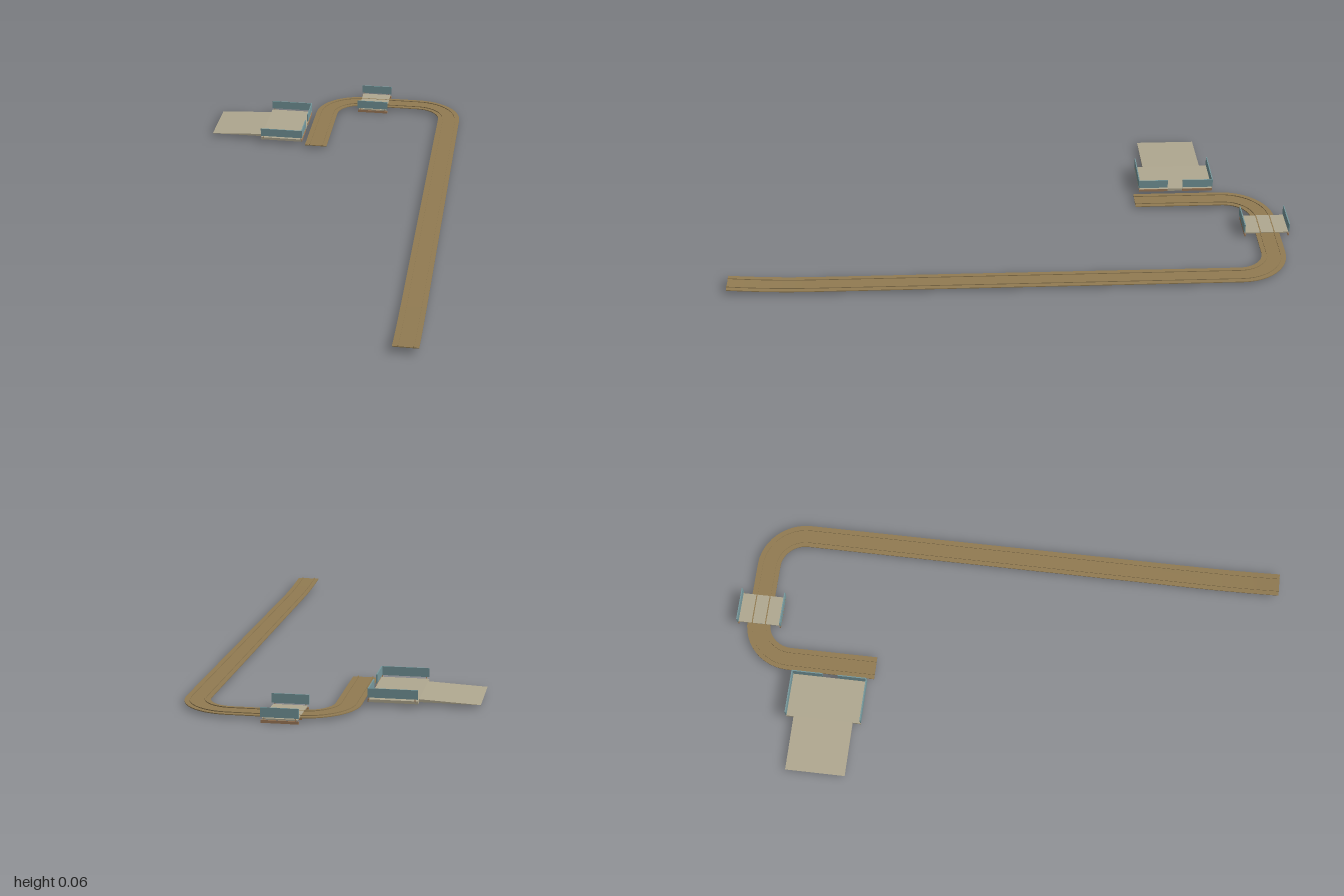
import * as THREE from 'three';
import { toCreasedNormals } from 'three/addons/utils/BufferGeometryUtils.js';

const mat = (name, color) => {
  const m = new THREE.MeshStandardMaterial({ color });
  m.name = name;
  return m;
};

// Road centre line as stations { x, y, z, dx, dz }, from the raised front end to the short leg
function roadStations() {
  const s = [], r = 0.135, xr = 0.439, xl = -0.061, zb = -0.921;
  for (let i = 0; i <= 8; i++) {
    const t = i / 8;
    s.push({ x: xr, z: 1 - 0.3 * t, y: 0.0135 * (1 - t) ** 2, dx: 0, dz: -1 });
  }
  for (const cx of [xr - r, xl + r]) {
    const start = cx === xr - r ? 0 : Math.PI / 2;
    for (let i = 0; i <= 12; i++) {
      const a = start + (i / 12) * Math.PI / 2;
      s.push({
        x: cx + r * Math.cos(a), z: zb + r - r * Math.sin(a), y: 0,
        dx: -Math.sin(a), dz: -Math.cos(a),
      });
    }
  }
  s.push({ x: xl, z: -0.462, y: 0, dx: 0, dz: 1 });
  return s;
}

// Sweep a rectangular section along the road
function sweep(stations, left, right, bottom, top) {
  const section = [[left, top], [right, top], [right, bottom], [left, bottom]];
  const pos = [], idx = [];
  for (const p of stations) {
    for (const [o, h] of section) pos.push(p.x - p.dz * o, p.y + h, p.z + p.dx * o);
  }
  for (let i = 0; i < stations.length - 1; i++) {
    for (let k = 0; k < 4; k++) {
      const a = i * 4 + k, b = i * 4 + (k + 1) % 4;
      idx.push(a, b, b + 4, a, b + 4, a + 4);
    }
  }
  const e = (stations.length - 1) * 4;
  idx.push(0, 2, 1, 0, 3, 2, e, e + 1, e + 2, e, e + 2, e + 3);
  const g = new THREE.BufferGeometry();
  g.setAttribute('position', new THREE.Float32BufferAttribute(pos, 3));
  g.setIndex(idx);
  return toCreasedNormals(g, 0.5);
}

export function createModel() {
  const model = new THREE.Group();
  const dirt = mat('dirt brown', 0x917b52);
  const stone = mat('pale stone', 0xb0a890);
  const panel = mat('blue grey panel', 0x76989c);
  const timber = mat('timber', 0xa07c5a);

  const add = (name, geometry, material, parent = model) => {
    const m = new THREE.Mesh(geometry, material);
    m.name = name;
    parent.add(m);
    return m;
  };
  // Box given by its limits on each axis
  const box = (name, material, parent, x0, x1, y0, y1, z0, z1) => {
    const m = add(name, new THREE.BoxGeometry(x1 - x0, y1 - y0, z1 - z0), material, parent);
    m.position.set((x0 + x1) / 2, (y0 + y1) / 2, (z0 + z1) / 2);
  };
  const group = (name) => {
    const g = new THREE.Group();
    g.name = name;
    model.add(g);
    return g;
  };

  // Road with two raised guide ridges
  const road = group('road');
  const stations = roadStations();
  add('roadBed', sweep(stations, -0.043, 0.043, 0.0095, 0.0125), dirt, road);
  for (const o of [-0.025, 0.025]) {
    add('guideRidge', sweep(stations, o - 0.002, o + 0.002, 0.0125, 0.0155), dirt, road);
  }

  // Bridge: deck, four timber beams beneath and a panel on each side
  const bridge = group('bridge');
  box('bridgeDeck', stone, bridge, 0.064, 0.178, 0.0105, 0.015, -0.997, -0.838);
  for (const z of [-0.997, -0.947, -0.895, -0.84]) {
    box('bridgeBeam', timber, bridge, 0.06, 0.182, 0, 0.0095, z - 0.002, z + 0.002);
  }
  for (const z of [-0.998, -0.837]) {
    box('bridgePanel', panel, bridge, 0.059, 0.183, 0.019, 0.051, z - 0.002, z + 0.002);
    for (const x of [0.07, 0.172]) {
      box('bridgePost', timber, bridge, x - 0.001, x + 0.001, 0.0105, 0.02, z - 0.001, z + 0.001);
    }
  }

  // Platform with a sloping ramp
  const platform = group('platform');
  const zBack = -0.76, zFront = -0.485, xEnd = -0.121, xRamp = -0.284;
  box('platformSlab', stone, platform, xRamp, xEnd, 0.013, 0.0225, zBack, zFront);
  const slope = new THREE.Shape([
    new THREE.Vector2(-0.485, 0.012),
    new THREE.Vector2(xRamp, 0.013),
    new THREE.Vector2(xRamp, 0.0225),
    new THREE.Vector2(-0.485, 0.0125),
  ]);
  const ramp = add('ramp',
    new THREE.ExtrudeGeometry(slope, { depth: 0.218, bevelEnabled: false }), stone, platform);
  ramp.position.z = -0.733;

  // Side panels, then end panels that leave a gateway
  for (const z of [zBack, zFront]) {
    box('sidePanel', panel, platform, xRamp, xEnd, 0.029, 0.06, z - 0.002, z + 0.002);
    for (const x of [xRamp + 0.01, xEnd - 0.002]) {
      box('platformPost', timber, platform, x - 0.001, x + 0.001, 0.02, 0.03, z - 0.001, z + 0.001);
    }
  }
  for (const [z0, z1] of [[zBack, -0.648], [-0.592, zFront]]) {
    box('endPanel', panel, platform, xEnd - 0.002, xEnd + 0.002, 0.029, 0.06, z0, z1);
    box('endTrim', timber, platform, xEnd, xEnd + 0.002, 0.013, 0.0225, z0, z1);
  }
  return model;
}
